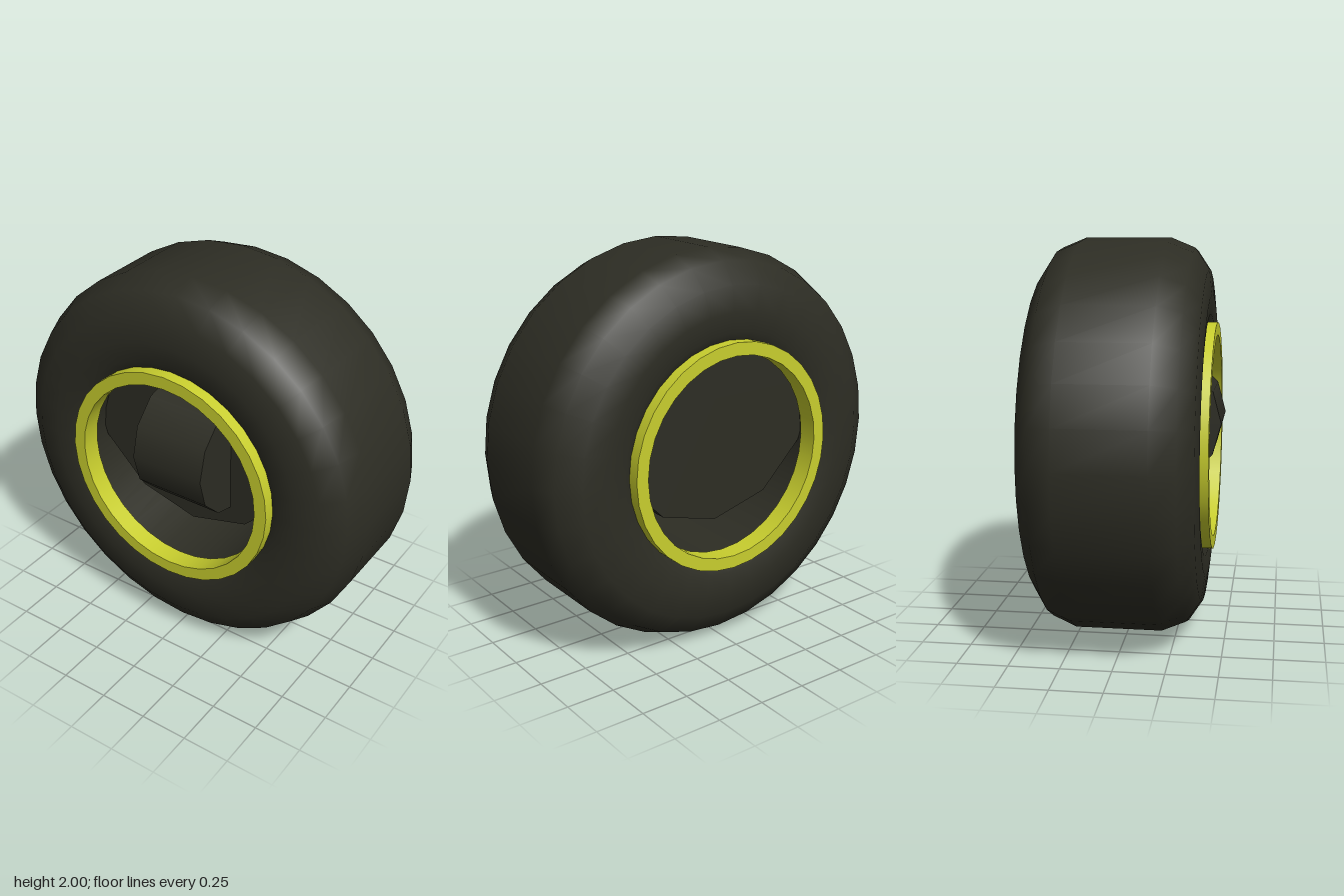
import * as THREE from 'three';
import { mergeGeometries } from 'three/addons/utils/BufferGeometryUtils.js';

const SEGMENTS = 32;
const MID_Z = -0.02; // middle plane of the wheel

const rubber = new THREE.MeshStandardMaterial({ color: 0x2d2d24 });
rubber.name = 'dark rubber';
const yellow = new THREE.MeshStandardMaterial({ color: 0xc8ce2e });
yellow.name = 'rim yellow';

// Revolve a [radius, z] profile about the wheel axis
function revolve(profile) {
  const points = profile.map(([r, z]) => new THREE.Vector2(r, z));
  return new THREE.LatheGeometry(points, SEGMENTS).rotateX(-Math.PI / 2).rotateY(Math.PI);
}

// Square-edged ring: each wall revolved alone so its edges stay sharp
function ringGeometry(inner, outer, depth) {
  const h = depth / 2;
  const corners = [[outer, -h], [outer, h], [inner, h], [inner, -h]];
  return mergeGeometries(corners.map((c, i) => revolve([c, corners[(i + 1) % 4]])));
}

function addMesh(group, name, geometry, material, x, y, z) {
  const mesh = new THREE.Mesh(geometry, material);
  mesh.name = name;
  mesh.position.set(x, y, z);
  group.add(mesh);
  return mesh;
}

export function createModel() {
  const wheel = new THREE.Group();
  wheel.name = 'wheel';

  // Tyre: rounded shoulders, mirrored across the middle plane
  const half = [[1, 0.215], [0.95, 0.335], [0.845, 0.405], [0.72, 0.42], [0.62, 0.412], [0.565, 0.38]];
  const mirrored = half.map(([r, z]) => [r, -z]).reverse();
  addMesh(wheel, 'tyre', revolve([...mirrored, ...half]), rubber, 0, 1, MID_Z);

  // Inner wall of the wheel opening
  addMesh(wheel, 'innerWall', revolve([[0.565, 0.38], [0.565, -0.38]]), rubber, 0, 1, MID_Z);

  // Rim rings on both faces
  for (const side of [1, -1]) {
    addMesh(wheel, side > 0 ? 'frontRim' : 'backRim', ringGeometry(0.515, 0.58, 0.1),
      yellow, 0, 1, MID_Z + side * 0.4);
  }

  // Twelve-sided hub drum, set above the wheel centre
  const drum = new THREE.CylinderGeometry(0.637, 0.637, 0.51, 12).rotateX(Math.PI / 2);
  addMesh(wheel, 'hubDrum', drum, rubber, 0, 1.267, -0.055);

  // Crosswise roller on the front of the drum
  const roller = new THREE.CylinderGeometry(0.315, 0.315, 0.4, 12).rotateZ(Math.PI / 2);
  addMesh(wheel, 'hubRoller', roller, rubber, 0.03, 1.09, 0.15);

  return wheel;
}
